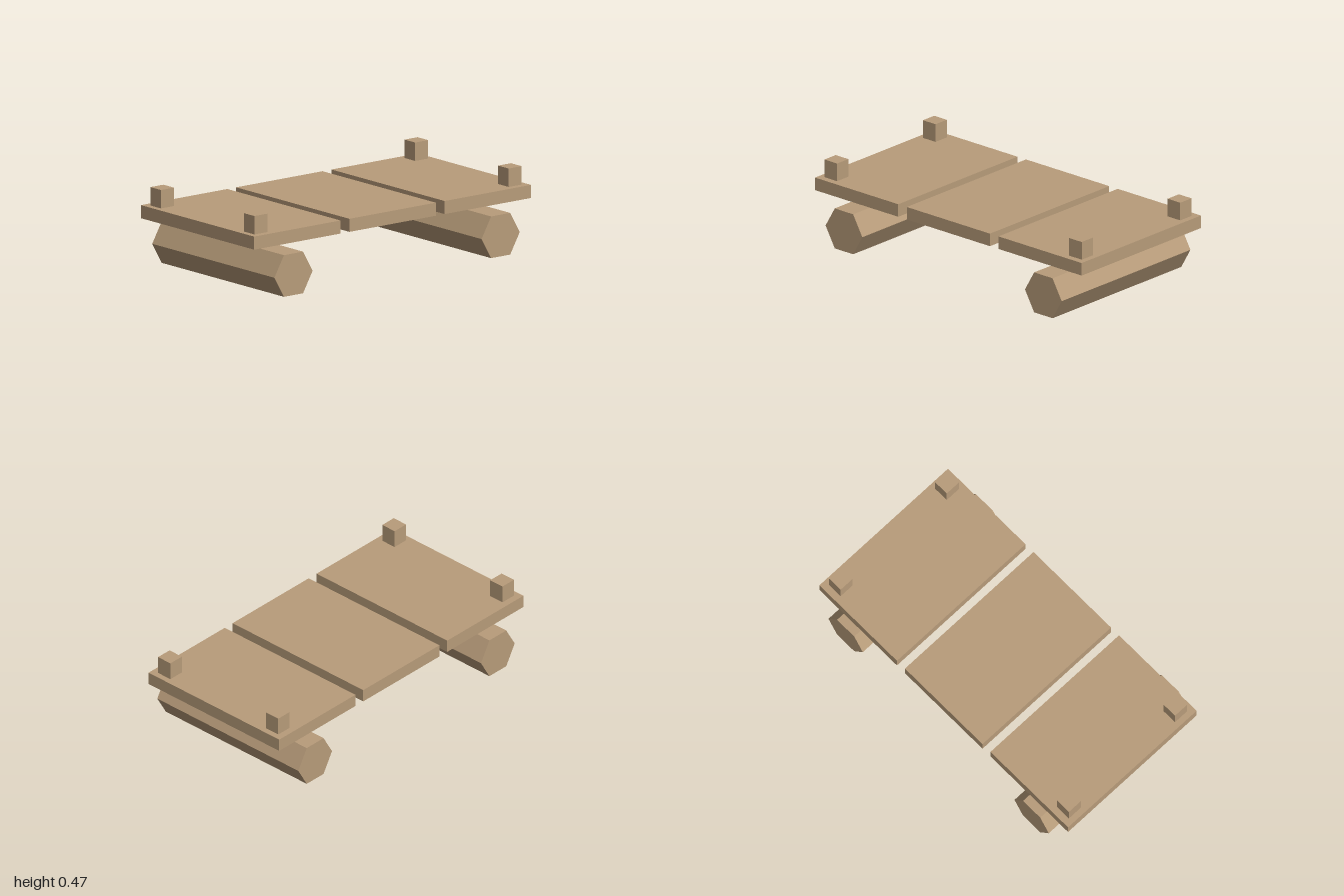
import * as THREE from 'three';

export function createModel() {
  const model = new THREE.Group();
  model.name = 'raft';
  const wood = new THREE.MeshStandardMaterial({ color: 0xb89c7a, flatShading: true });
  wood.name = 'wood';

  const add = (name, geometry, x, y, z) => {
    const mesh = new THREE.Mesh(geometry, wood);
    mesh.name = name;
    mesh.position.set(x, y, z);
    model.add(mesh);
  };

  // Three wide deck boards with narrow gaps
  const board = new THREE.BoxGeometry(0.624, 0.075, 0.998);
  for (const x of [-0.688, 0, 0.688]) add('deckBoard', board, x, 0.328, 0);

  // Hexagonal log, corners pointing sideways, lying along z
  const log = new THREE.CylinderGeometry(0.138, 0.138, 1.077, 6);
  log.rotateY(Math.PI / 6).rotateX(Math.PI / 2);

  // Short square post for each deck corner
  const post = new THREE.BoxGeometry(0.094, 0.106, 0.094);

  for (const side of [-1, 1]) {
    add('log', log, side * 0.748, 0.1195, 0);
    for (const end of [-1, 1]) add('cornerPost', post, side * 0.918, 0.418, end * 0.412);
  }
  return model;
}
